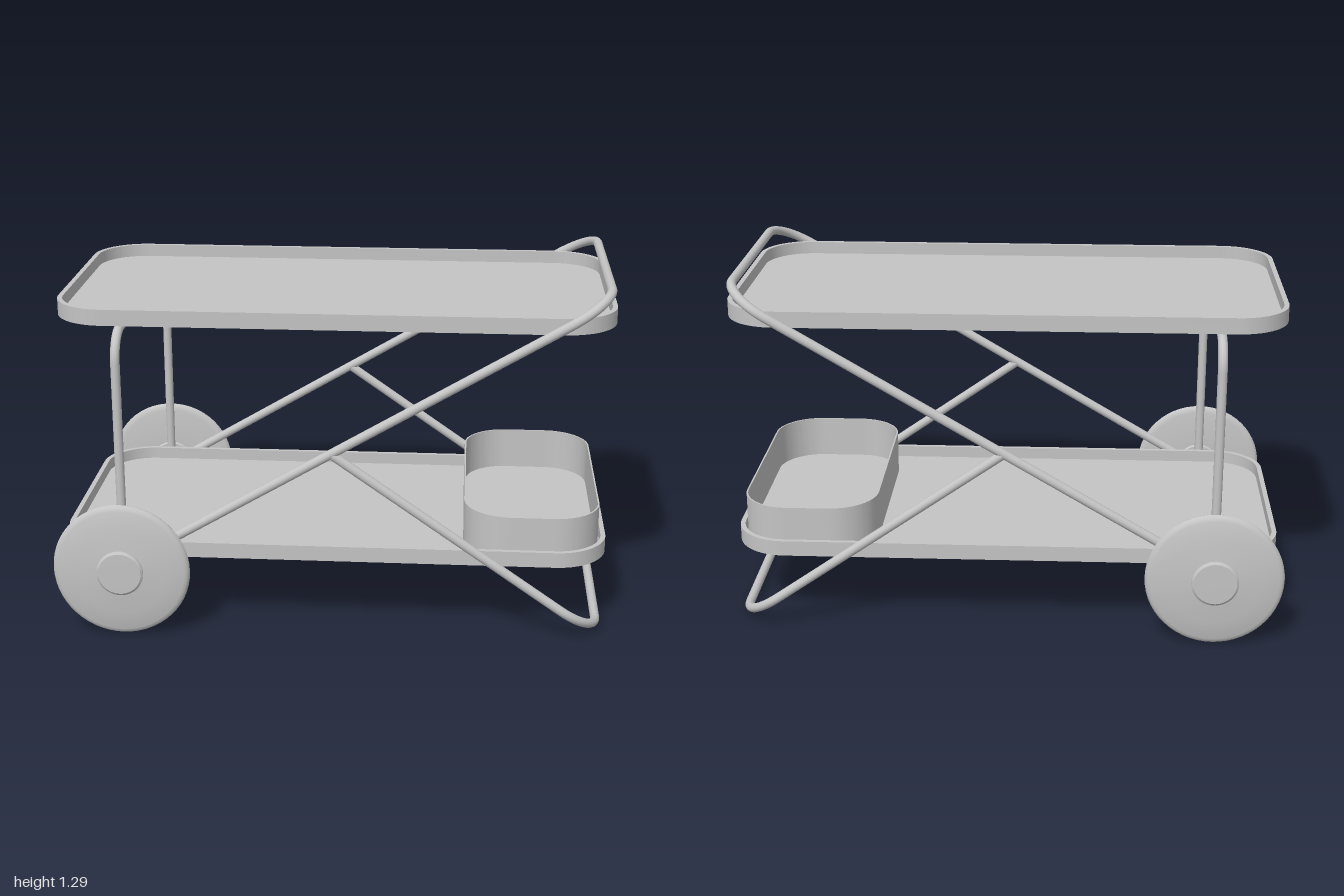
import * as THREE from 'three';
import { toCreasedNormals } from 'three/addons/utils/BufferGeometryUtils.js';

const V = (x, y, z) => new THREE.Vector3(x, y, z);
const grey = new THREE.MeshStandardMaterial({ color: 0xc4c4c4 });
grey.name = 'light grey';

function add(group, name, geometry) {
  const mesh = new THREE.Mesh(geometry, grey);
  mesh.name = name;
  group.add(mesh);
  return mesh;
}

// Rounded rectangle centred on the origin, half sizes a and b
function roundedRect(target, a, b, r) {
  target.moveTo(a, -b + r);
  target.absarc(a - r, b - r, r, 0, Math.PI / 2);
  target.absarc(-a + r, b - r, r, Math.PI / 2, Math.PI);
  target.absarc(-a + r, -b + r, r, Math.PI, Math.PI * 1.5);
  target.absarc(a - r, -b + r, r, Math.PI * 1.5, Math.PI * 2);
  return target;
}

function slab(shape, y, height) {
  const g = new THREE.ExtrudeGeometry(shape, { depth: height, bevelEnabled: false, curveSegments: 14 });
  g.rotateX(-Math.PI / 2).translate(0, y, 0);
  return toCreasedNormals(g, 0.5);
}

// Open tray: a rim wall around a thin floor
function tray(name, a, b, r, wall, y, height, floor) {
  const group = new THREE.Group();
  group.name = name;
  const rim = roundedRect(new THREE.Shape(), a, b, r);
  rim.holes.push(roundedRect(new THREE.Path(), a - wall, b - wall, r - wall));
  add(group, name + 'Rim', slab(rim, y, height));
  add(group, name + 'Floor', slab(roundedRect(new THREE.Shape(), a - wall, b - wall, r - wall), y, floor));
  return group;
}

// U-shaped tube: two arms from start to end at z = +-halfWidth, joined by a bar with round bends
function hoop(start, end, halfWidth, bend, radius) {
  const dir = end.clone().sub(start).normalize();
  const at = (back, z) => end.clone().addScaledVector(dir, -back).setZ(z);
  const k = bend * 0.4477;
  const w = halfWidth;
  const path = new THREE.CurvePath();
  path.add(new THREE.LineCurve3(start.clone().setZ(w), at(bend, w)));
  path.add(new THREE.CubicBezierCurve3(at(bend, w), at(k, w), at(0, w - k), at(0, w - bend)));
  path.add(new THREE.LineCurve3(at(0, w - bend), at(0, bend - w)));
  path.add(new THREE.CubicBezierCurve3(at(0, bend - w), at(0, k - w), at(k, -w), at(bend, -w)));
  path.add(new THREE.LineCurve3(at(bend, -w), start.clone().setZ(-w)));
  return new THREE.TubeGeometry(path, 180, radius, 16);
}

export function createModel() {
  const cart = new THREE.Group();
  cart.name = 'servingCart';
  const axleX = -0.757, axleY = 0.25, tube = 0.017;

  // Trays and the open bin standing in the lower one
  cart.add(tray('upperTray', 0.997, 0.5, 0.19, 0.018, 1.145, 0.058, 0.012));
  cart.add(tray('lowerTray', 0.997, 0.5, 0.19, 0.018, 0.275, 0.057, 0.012));
  const bin = tray('bin', 0.247, 0.475, 0.17, 0.006, 0.287, 0.167, 0.008);
  bin.position.x = 0.723;
  cart.add(bin);

  // Bent tube frame
  add(cart, 'handleFrame', hoop(V(axleX, axleY, 0), V(0.97, 1.271, 0), 0.524, 0.17, tube));
  add(cart, 'frontLegFrame', hoop(V(0.005, 0.694, 0), V(0.97, 0.019, 0), 0.524, 0.17, tube));
  add(cart, 'rearArch', hoop(V(axleX, axleY, 0), V(axleX, 1.118, 0), 0.524, 0.1, tube));

  // Axle and wheels
  const axle = add(cart, 'axle', new THREE.CylinderGeometry(0.021, 0.021, 1.12, 20));
  axle.rotation.x = Math.PI / 2;
  axle.position.set(axleX, axleY, 0);

  const profile = [[0, 0.544], [0.08, 0.544], [0.085, 0.552], [0.225, 0.552], [0.24, 0.556], [0.247, 0.561],
    [0.25, 0.569], [0.247, 0.578], [0.241, 0.584], [0.23, 0.588], [0.16, 0.598], [0.085, 0.605],
    [0.085, 0.61], [0.077, 0.616], [0, 0.617]].map(([r, z]) => new THREE.Vector2(r, z));
  const wheelGeometry = toCreasedNormals(new THREE.LatheGeometry(profile, 56), 0.6);
  for (const [name, side] of [['frontWheel', 1], ['backWheel', -1]]) {
    const wheel = add(cart, name, wheelGeometry);
    wheel.rotation.x = side * Math.PI / 2;
    wheel.position.set(axleX, axleY, 0);
  }
  return cart;
}
